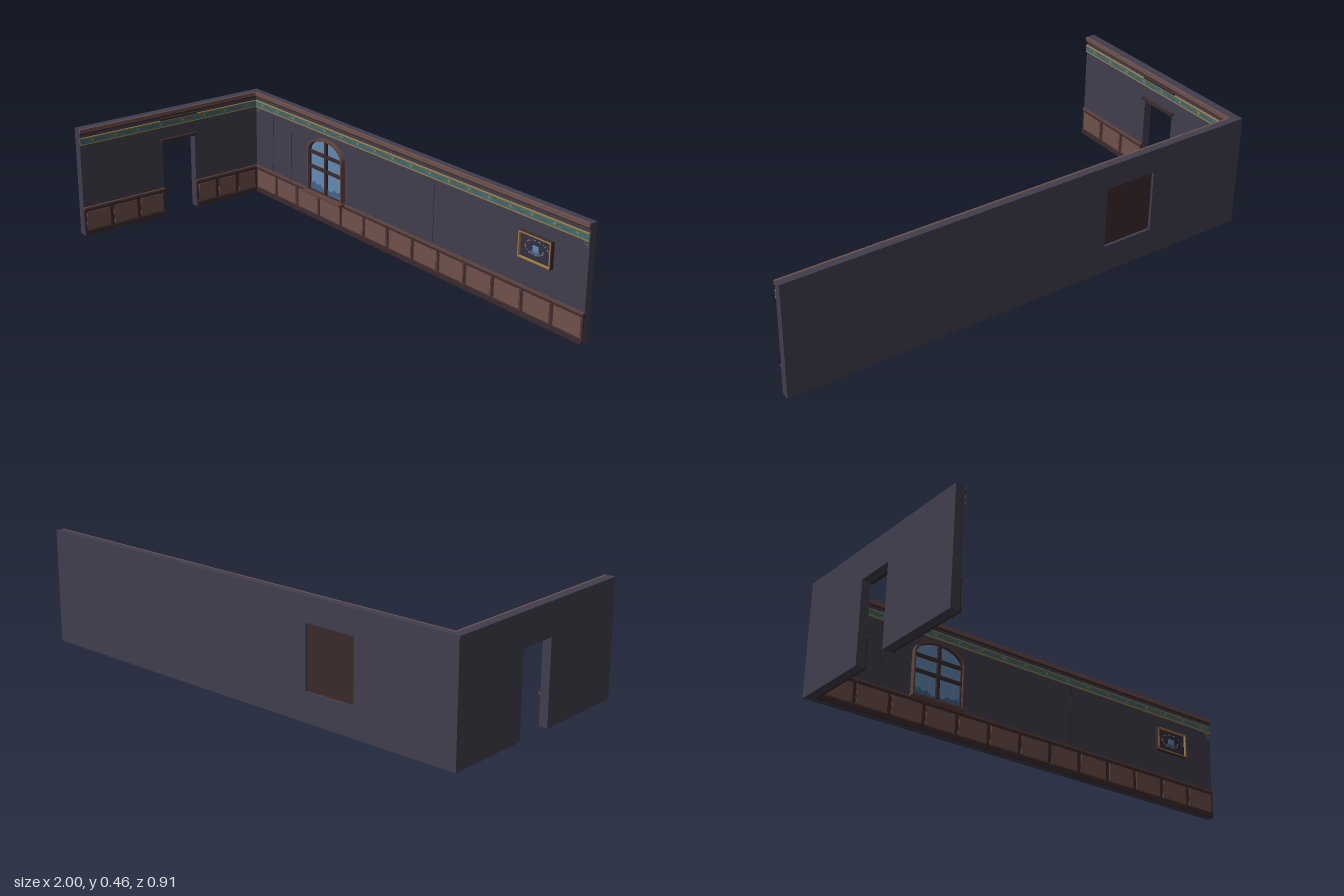
import * as THREE from 'three';

const mat = (name, color, side = THREE.FrontSide) => {
  const m = new THREE.MeshStandardMaterial({ color, side });
  m.name = name;
  return m;
};

export function createModel() {
  const wallMat = mat('slate plaster', 0x403e4d);
  const panelMat = mat('panel wood', 0x6e504a);
  const darkMat = mat('dark wood', 0x3b2a2b);
  const railMat = mat('rail wood', 0x5f423d);
  const tealMat = mat('teal frieze', 0x3f6c70);
  const goldMat = mat('gold', 0xa67c3d);
  const glassMat = mat('sky glass', 0x6189b3);
  const hillMat = mat('blue hills', 0x43658c);
  const canvasMat = mat('navy canvas', 0x2e3044);

  const root = new THREE.Group();
  root.name = 'roomCorner';

  const add = (parent, name, geo, material) => {
    const m = new THREE.Mesh(geo, material);
    m.name = name;
    parent.add(m);
    return m;
  };
  // Box given by its limits on each axis
  const box = (parent, name, material, x0, x1, y0, y1, z0, z1) => {
    const m = add(parent, name, new THREE.BoxGeometry(x1 - x0, y1 - y0, z1 - z0), material);
    m.position.set((x0 + x1) / 2, (y0 + y1) / 2, (z0 + z1) / 2);
    return m;
  };
  const extrude = (shape, depth) =>
    new THREE.ExtrudeGeometry(shape, { depth, bevelEnabled: false, curveSegments: 12 });
  const polygon = (pts) => new THREE.Shape(pts.map(([x, y]) => new THREE.Vector2(x, y)));

  // Each wall is a group: x runs along it, z = 0 is its inner face
  const H = 0.462;
  const back = new THREE.Group();
  back.name = 'backWall';
  back.position.z = -0.426;
  const side = new THREE.Group();
  side.name = 'sideWall';
  side.position.x = -0.965;
  side.rotation.y = Math.PI / 2;
  root.add(back, side);

  // Back wall plaster with a rectangular recess behind the window
  const W = { x: -0.456, hw: 0.116, y0: 0.122, spring: 0.305, top: 0.375 };
  const backShape = polygon([[-1, 0], [1, 0], [1, H], [-1, H]]);
  backShape.holes.push(polygon([[-0.566, 0.115], [-0.566, 0.365], [-0.346, 0.365], [-0.346, 0.115]]));
  add(back, 'outerPlaster', extrude(backShape, 0.019), wallMat).position.z = -0.029;
  box(back, 'innerPlaster', wallMat, -1, 1, 0, H, -0.01, 0);
  box(back, 'windowBackBoard', darkMat, -0.566, -0.346, 0.115, 0.365, -0.018, -0.01);
  for (const x of [-0.84, -0.71, 0.205]) {
    box(back, 'plasterSeam', darkMat, x - 0.001, x + 0.001, 0.12, 0.395, 0, 0.001);
  }

  // Side wall plaster with the doorway
  const d0 = -0.064, d1 = 0.1, dTop = 0.332;
  const sideShape = polygon([
    [-0.455, 0], [d0, 0], [d0, dTop], [d1, dTop], [d1, 0], [0.426, 0], [0.426, H], [-0.455, H],
  ]);
  add(side, 'doorwayPlaster', extrude(sideShape, 0.035), wallMat).position.z = -0.035;
  box(side, 'doorLintel', darkMat, d0 - 0.01, d1 + 0.01, 0.33, 0.342, -0.005, 0.012);
  box(side, 'doorUpperLedge', darkMat, d0 - 0.01, d1 + 0.01, 0.425, 0.433, 0, 0.008);

  // Wainscot: base, stiles, raised panels and a cap rail
  const wainscot = (wall, a, b, n) => {
    const g = new THREE.Group();
    g.name = 'wainscot';
    wall.add(g);
    box(g, 'wainscotBacking', darkMat, a, b, 0.018, 0.116, 0, 0.004);
    box(g, 'baseboard', darkMat, a, b, 0, 0.02, 0, 0.008);
    box(g, 'upperRail', darkMat, a, b, 0.107, 0.117, 0, 0.007);
    box(g, 'capRail', railMat, a, b, 0.116, 0.124, 0, 0.009);
    const p = (b - a) / n;
    for (let i = 0; i < n; i++) {
      const x0 = a + i * p + 0.007, x1 = a + (i + 1) * p - 0.007;
      box(g, 'panelMoulding', railMat, x0, x1, 0.022, 0.106, 0.003, 0.005);
      box(g, 'panel', panelMat, x0 + 0.004, x1 - 0.004, 0.026, 0.102, 0.003, 0.007);
    }
  };
  wainscot(back, -0.962, 1, 13);
  wainscot(side, -0.455, d0, 3);
  wainscot(side, d1, 0.42, 3);

  // Frieze with vine and flower ornament, and crown moulding above
  const leaf = new THREE.ShapeGeometry(polygon([[0, -0.009], [0.004, 0], [0.009, 0.006], [0, 0.004], [-0.009, 0.006], [-0.004, 0]]));
  const vineShape = polygon([
    [-0.044, 0], [-0.03, 0.006], [-0.015, 0.003], [0, -0.004], [0.018, -0.002], [0.044, 0.006],
    [0.03, 0.001], [0.016, -0.005], [0, -0.007], [-0.016, 0], [-0.03, 0.003],
  ]);
  const vine = new THREE.ShapeGeometry(vineShape);
  const frieze = (wall, a, b) => {
    const g = new THREE.Group();
    g.name = 'frieze';
    wall.add(g);
    box(g, 'friezeBand', tealMat, a, b, 0.397, 0.422, 0, 0.005);
    box(g, 'friezeLowerTrim', goldMat, a, b, 0.394, 0.398, 0, 0.006);
    box(g, 'friezeUpperTrim', goldMat, a, b, 0.421, 0.425, 0, 0.006);
    const n = Math.round((b - a) / 0.111), p = (b - a) / n;
    for (let i = 0; i < n; i++) {
      const x = a + (i + 0.5) * p;
      add(g, 'friezeFlower', leaf, goldMat).position.set(x, 0.41, 0.0062);
      if (i < n - 1) add(g, 'friezeVine', vine, railMat).position.set(x + p / 2, 0.411, 0.0058);
    }
    box(g, 'crownShadowLine', darkMat, a, b, 0.44, 0.446, 0, 0.006);
    box(g, 'crownMoulding', panelMat, a, b, 0.446, H, 0, 0.008);
  };
  frieze(back, -0.962, 1);
  frieze(side, -0.455, 0.42);

  // Small corner ornaments at both ends of the long frieze
  for (const [x, s] of [[-0.955, 1], [0.99, -1]]) {
    for (let i = 0; i < 9; i++) {
      const u = x + s * 0.011 * (i % 3), v = 0.388 - 0.009 * Math.floor(i / 3);
      if (i % 3 + Math.floor(i / 3) > 2) continue;
      box(back, 'cornerOrnament', i % 2 ? goldMat : hillMat, u - 0.002, u + 0.002, v - 0.002, v + 0.002, 0, 0.003);
    }
  }

  // Arched window
  const win = new THREE.Group();
  win.name = 'window';
  win.position.x = W.x;
  back.add(win);
  const arch = (inset, Type) => {
    const hw = W.hw - inset, s = new Type();
    s.moveTo(-hw, W.y0 + inset);
    s.lineTo(hw, W.y0 + inset);
    s.lineTo(hw, W.spring);
    s.absellipse(0, W.spring, hw, W.top - W.spring - inset, 0, Math.PI, false, 0);
    s.lineTo(-hw, W.y0 + inset);
    return s;
  };
  const ring = (outer, inner) => {
    const s = arch(outer, THREE.Shape);
    s.holes.push(arch(inner, THREE.Path));
    return s;
  };
  add(win, 'windowGlass', extrude(arch(0.004, THREE.Shape), 0.004), glassMat);
  add(win, 'windowFrame', extrude(ring(0, 0.007), 0.02), railMat);
  add(win, 'windowInnerFrame', extrude(ring(0.007, 0.011), 0.012), darkMat);
  const hills = polygon([
    [-0.106, 0.13], [0.106, 0.13], [0.106, 0.16], [0.09, 0.168], [0.07, 0.158], [0.05, 0.166], [0.03, 0.15],
    [0.005, 0.157], [-0.02, 0.148], [-0.045, 0.165], [-0.065, 0.157], [-0.085, 0.17], [-0.106, 0.158],
  ]);
  add(win, 'distantHills', extrude(hills, 0.002), hillMat).position.z = 0.004;
  box(win, 'verticalMullion', darkMat, -0.007, 0.007, W.y0, W.top - 0.004, 0.003, 0.014);
  for (const y of [0.235, 0.3]) {
    box(win, 'horizontalMullion', darkMat, -0.11, 0.11, y - 0.007, y + 0.007, 0.003, 0.012);
  }
  box(win, 'windowSill', railMat, -0.126, 0.122, 0.117, 0.127, 0, 0.036);

  // Framed picture
  const pic = new THREE.Group();
  pic.name = 'framedPicture';
  pic.position.set(0.757, 0.287, 0);
  back.add(pic);
  const frame = (name, material, w, h, t, z) => {
    const s = polygon([[-w, -h], [w, -h], [w, h], [-w, h]]);
    s.holes.push(polygon([[t - w, t - h], [t - w, h - t], [w - t, h - t], [w - t, t - h]]));
    add(pic, name, extrude(s, z), material);
  };
  box(pic, 'canvas', canvasMat, -0.078, 0.078, -0.047, 0.047, 0, 0.008);
  frame('outerFrame', darkMat, 0.082, 0.053, 0.006, 0.016);
  frame('goldFrame', goldMat, 0.08, 0.051, 0.005, 0.018);
  box(pic, 'paintedTower', glassMat, -0.014, 0.016, -0.016, 0.012, 0.008, 0.01);
  box(pic, 'paintedTowerBase', hillMat, -0.022, 0.024, -0.022, -0.012, 0.008, 0.0105);
  // Scattered gold dabs on the canvas
  for (let i = 0; i < 22; i++) {
    const a = i * 2.4, r = 0.55 + 0.4 * ((i * 0.618) % 1);
    const x = Math.cos(a) * r * 0.068, y = Math.sin(a) * r * 0.038, w = 0.003 + 0.003 * (i % 3);
    box(pic, 'goldDab', goldMat, x - w / 2, x + w / 2, y - 0.0018, y + 0.0018, 0.008, 0.0095);
  }
  return root;
}
